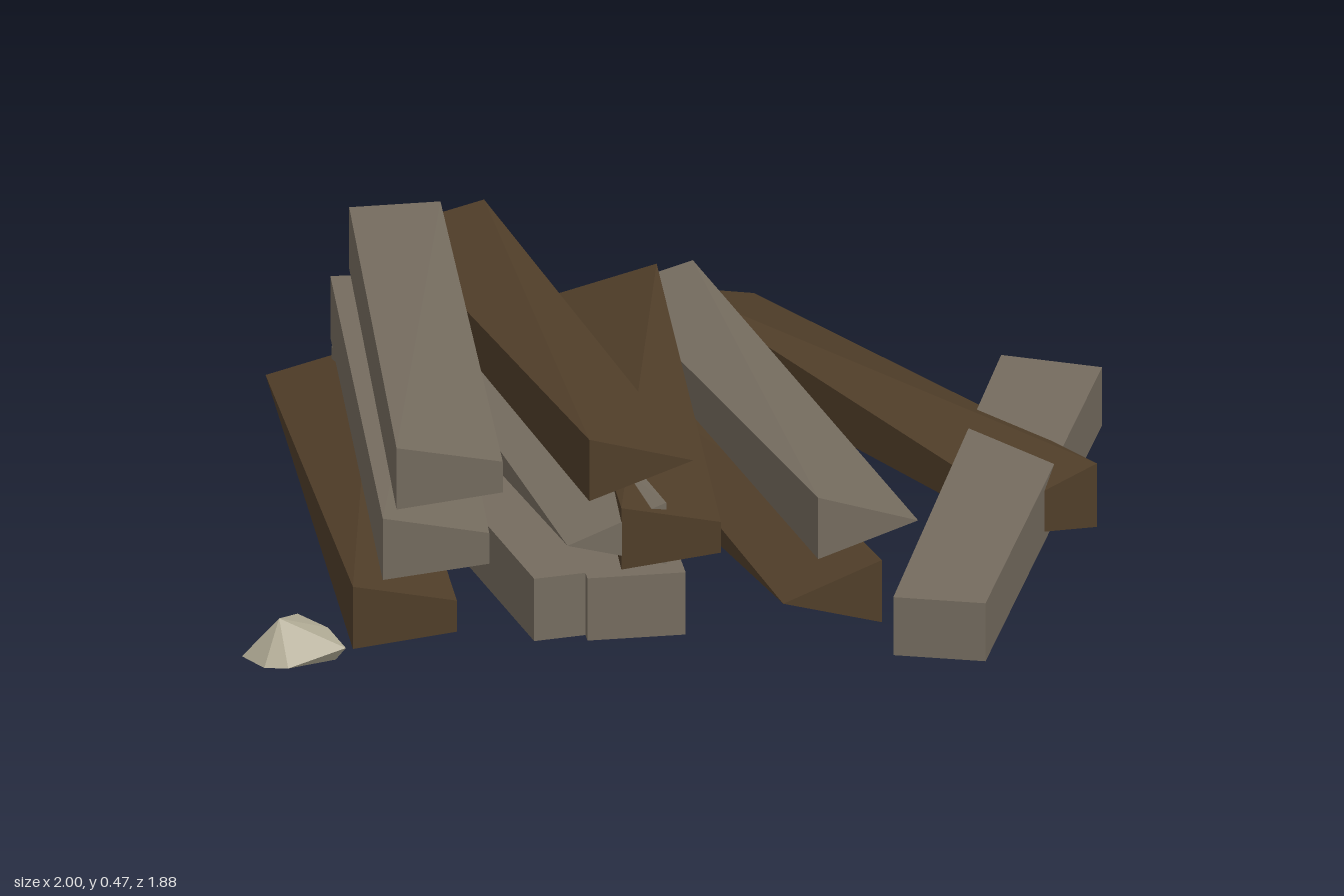
import * as THREE from 'three';
import { ConvexGeometry } from 'three/addons/geometries/ConvexGeometry.js';

// A beam from four upright corner edges, in the order back left, front left,
// front right, back right. Each corner is [x, z, height fraction]; hewn
// corners shrink towards the middle height, 0 being a point.
function beamGeometry(corners, y0, y1) {
  const mid = (y0 + y1) / 2, half = (y1 - y0) / 2;
  const top = corners.map(([x, z, f = 1]) => [x, mid + half * f, z]);
  const bottom = corners.map(([x, z, f = 1]) => [x, mid - half * f, z]);
  const f = corners.map((c) => c[2] ?? 1);
  // Crease the top and bottom along the diagonal between the tall corners
  const s = f[0] + f[2] >= f[1] + f[3] ? 0 : 1;
  const [a, b, c, d] = [0, 1, 2, 3].map((i) => (i + s) % 4);
  const pos = [];
  const tri = (...points) => points.forEach((p) => pos.push(...p));
  tri(top[a], top[b], top[c]);
  tri(top[a], top[c], top[d]);
  tri(bottom[a], bottom[c], bottom[b]);
  tri(bottom[a], bottom[d], bottom[c]);
  for (let i = 0; i < 4; i++) {
    const j = (i + 1) % 4;
    if (f[i] > 0) tri(top[i], bottom[i], bottom[j]);
    if (f[j] > 0) tri(top[i], bottom[j], top[j]);
  }
  const geometry = new THREE.BufferGeometry();
  geometry.setAttribute('position', new THREE.Float32BufferAttribute(pos, 3));
  geometry.computeVertexNormals();
  return geometry;
}

export function createModel() {
  const model = new THREE.Group();
  model.name = 'timberPile';

  const material = (name, color) => {
    const m = new THREE.MeshStandardMaterial({ color, flatShading: true });
    m.name = name;
    return m;
  };
  const grey = material('weathered grey wood', 0x756c5f);
  const brown = material('dark brown wood', 0x503e29);
  const stone = material('pale stone', 0xb0aa94);

  // Bottom, middle and top layers of the stack
  const layers = [[0.003, 0.15], [0.163, 0.308], [0.328, 0.473]];
  const beams = [
    ['bottomBeamLeft', brown, 0, [[-0.79, -0.61, 0], [-0.745, 0.72], [-0.52, 0.735, 0.5], [-0.56, -0.59]]],
    ['bottomBeamSlanted', grey, 0, [[-0.65, -0.58], [-0.35, 0.72], [-0.13, 0.68], [-0.43, -0.63]]],
    ['bottomBeamCentre', grey, 0, [[-0.29, -0.61], [-0.235, 0.73], [-0.02, 0.72], [-0.07, -0.59]]],
    ['bottomBeamRight', brown, 0, [[-0.14, -0.55], [0.19, 0.745, 0], [0.41, 0.7], [0.08, -0.6, 0.5]]],
    ['middleBeamLeft', grey, 1, [[-0.65, -0.6], [-0.68, 0.72], [-0.45, 0.74, 0.5], [-0.42, -0.59]]],
    ['middleBeamSlanted', grey, 1, [[-0.55, -0.58], [-0.28, 0.745, 0], [-0.06, 0.7], [-0.33, -0.63, 0.5]]],
    ['middleBeamCentre', brown, 1, [[-0.165, -0.61, 0], [-0.16, 0.72], [0.055, 0.735, 0.5], [0.06, -0.59]]],
    ['middleBeamRight', grey, 1, [[-0.05, -0.55, 0.5], [0.27, 0.71], [0.49, 0.69, 0], [0.14, -0.6]]],
    ['topBeamLeft', grey, 2, [[-0.61, -0.59], [-0.65, 0.72], [-0.42, 0.735, 0.5], [-0.41, -0.6]]],
    ['topBeamRight', brown, 2, [[-0.53, -0.55, 0.5], [-0.23, 0.72], [0, 0.69, 0], [-0.315, -0.6]]],
    ['fallenBeamBack', brown, 0, [[0.125, -0.82], [0.74, 0.345, 0.45], [0.93, 0.23], [0.31, -0.94, 0]]],
    ['fallenBeamFront', grey, 0, [[0.79, -0.4], [0.415, 0.88], [0.61, 0.935], [1, -0.31]], 0.14],
  ];
  for (const [name, mat, layer, corners, y1 = layers[layer][1]] of beams) {
    const y0 = name === 'fallenBeamBack' ? 0 : layers[layer][0];
    const beam = new THREE.Mesh(beamGeometry(corners, y0, y1), mat);
    beam.name = name;
    model.add(beam);
  }

  // Small loose stone
  const points = [
    [-1, 0.05, 0.84], [-0.96, 0.055, 0.92], [-0.91, 0.06, 0.94], [-0.8, 0.05, 0.88],
    [-0.88, 0.05, 0.77], [-0.78, 0.085, 0.9], [-0.81, 0.1, 0.82], [-0.87, 0.11, 0.76],
    [-0.92, 0.14, 0.85],
  ].map((p) => new THREE.Vector3(...p));
  const rock = new THREE.Mesh(new ConvexGeometry(points), stone);
  rock.name = 'looseStone';
  model.add(rock);

  return model;
}
